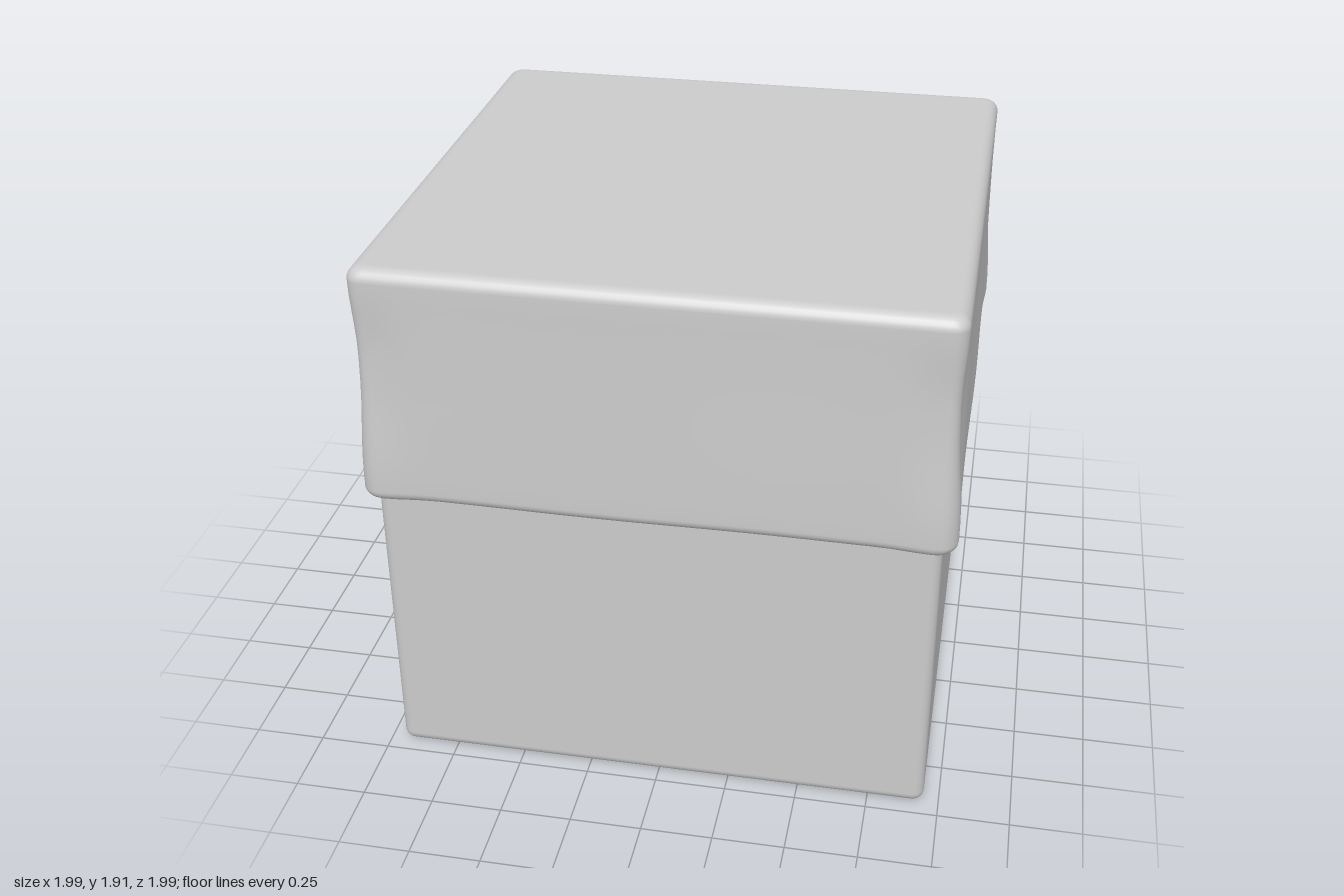
import * as THREE from 'three';
import { RoundedBoxGeometry } from 'three/addons/geometries/RoundedBoxGeometry.js';

const SIDE = 28, ARC = 6; // points per straight side and per corner
const smooth = (a, b, v) => THREE.MathUtils.smoothstep(v, a, b);

// One loop of a rounded square: position, outward direction, nearness to a corner
function ringPoints(half, radius) {
  const pts = [];
  const c = half - radius;
  for (let k = 0; k < 4; k++) {
    const turn = k * Math.PI / 2;
    const cos = Math.cos(turn), sin = Math.sin(turn);
    const add = (x, z, nx, nz, corner) => pts.push({
      x: x * cos - z * sin, z: x * sin + z * cos,
      nx: nx * cos - nz * sin, nz: nx * sin + nz * cos, corner,
    });
    for (let i = 0; i < SIDE; i++) {
      const s = Math.sin((i / SIDE - 0.5) * Math.PI); // denser near corners
      add(half, c * s, 1, 0, smooth(0.8, 1, Math.abs(s)));
    }
    for (let i = 0; i < ARC; i++) {
      const a = (i / ARC) * Math.PI / 2;
      add(c + radius * Math.cos(a), c + radius * Math.sin(a), Math.cos(a), Math.sin(a), 1);
    }
  }
  return pts;
}

// Draped cover: flat top, slightly flared uneven skirt, rounded lip tucked under
function coverGeometry() {
  const top = 1.915, bottom = 1.07, half = 0.98, fillet = 0.045, lip = 0.04;
  const profile = [[0.5, top], [0.1, top], [0.055, top]]; // [inset, height]
  for (let i = 0; i <= 6; i++) {
    const a = (i / 6) * Math.PI / 2;
    profile.push([fillet * (1 - Math.sin(a)), top - fillet * (1 - Math.cos(a))]);
  }
  for (let i = 1; i < 14; i++) profile.push([0, THREE.MathUtils.lerp(top - fillet, bottom + lip, i / 14)]);
  for (let i = 0; i <= 6; i++) {
    const a = (i / 6) * Math.PI / 2;
    profile.push([lip * (1 - Math.cos(a)), bottom + lip * (1 - Math.sin(a))]);
  }
  profile.push([0.07, bottom + 0.015]);

  const pos = [0, top, 0], index = [];
  let n = 0;
  profile.forEach(([inset, y], row) => {
    const low = 1 - smooth(1.1, 1.8, y);                          // strength of the flare
    const pinch = smooth(1.15, 1.5, y) * (1 - smooth(1.6, 1.86, y)); // corners dip at mid height
    const pts = ringPoints(half - inset, Math.max(0.05 - inset * 0.6, 0.015));
    n = pts.length;
    for (const p of pts) {
      const wave = Math.sin(p.x * 4.3 + p.z * 2.1 + 0.6) * Math.sin(p.z * 3.7 - p.x * 1.9 + 1.1);
      const out = low * (0.009 + 0.007 * p.corner + 0.004 * wave) - 0.013 * pinch * p.corner;
      pos.push(p.x + p.nx * out, y + low * (0.006 * wave - 0.004 * p.corner), p.z + p.nz * out);
    }
    for (let j = 0; j < n; j++) {
      const k = (j + 1) % n, a = 1 + row * n;
      if (row === 0) index.push(0, 1 + k, 1 + j);
      else index.push(a - n + j, a - n + k, a + j, a - n + k, a + k, a + j);
    }
  });
  // Fan winding follows the same turn as the walls
  for (let j = 0; j < n; j++) {
    index[j * 3 + 1] = 1 + j;
    index[j * 3 + 2] = 1 + (j + 1) % n;
  }
  // Flip the fan so that it faces up
  for (let j = 0; j < n; j++) {
    [index[j * 3 + 1], index[j * 3 + 2]] = [index[j * 3 + 2], index[j * 3 + 1]];
  }
  const g = new THREE.BufferGeometry();
  g.setAttribute('position', new THREE.Float32BufferAttribute(pos, 3));
  g.setIndex(index);
  g.computeVertexNormals();
  return g;
}

export function createModel() {
  const group = new THREE.Group();
  group.name = 'coveredBlock';
  const material = new THREE.MeshStandardMaterial({ color: 0xcccccc });

  // Lower block, its top hidden inside the cover
  const block = new THREE.Mesh(new RoundedBoxGeometry(1.9, 1.5, 1.9, 5, 0.04), material);
  block.name = 'block';
  block.position.set(-0.004, 0.75, 0.004);
  group.add(block);

  const cover = new THREE.Mesh(coverGeometry(), material);
  cover.name = 'cover';
  cover.position.set(-0.003, 0, -0.002);
  group.add(cover);

  return group;
}
